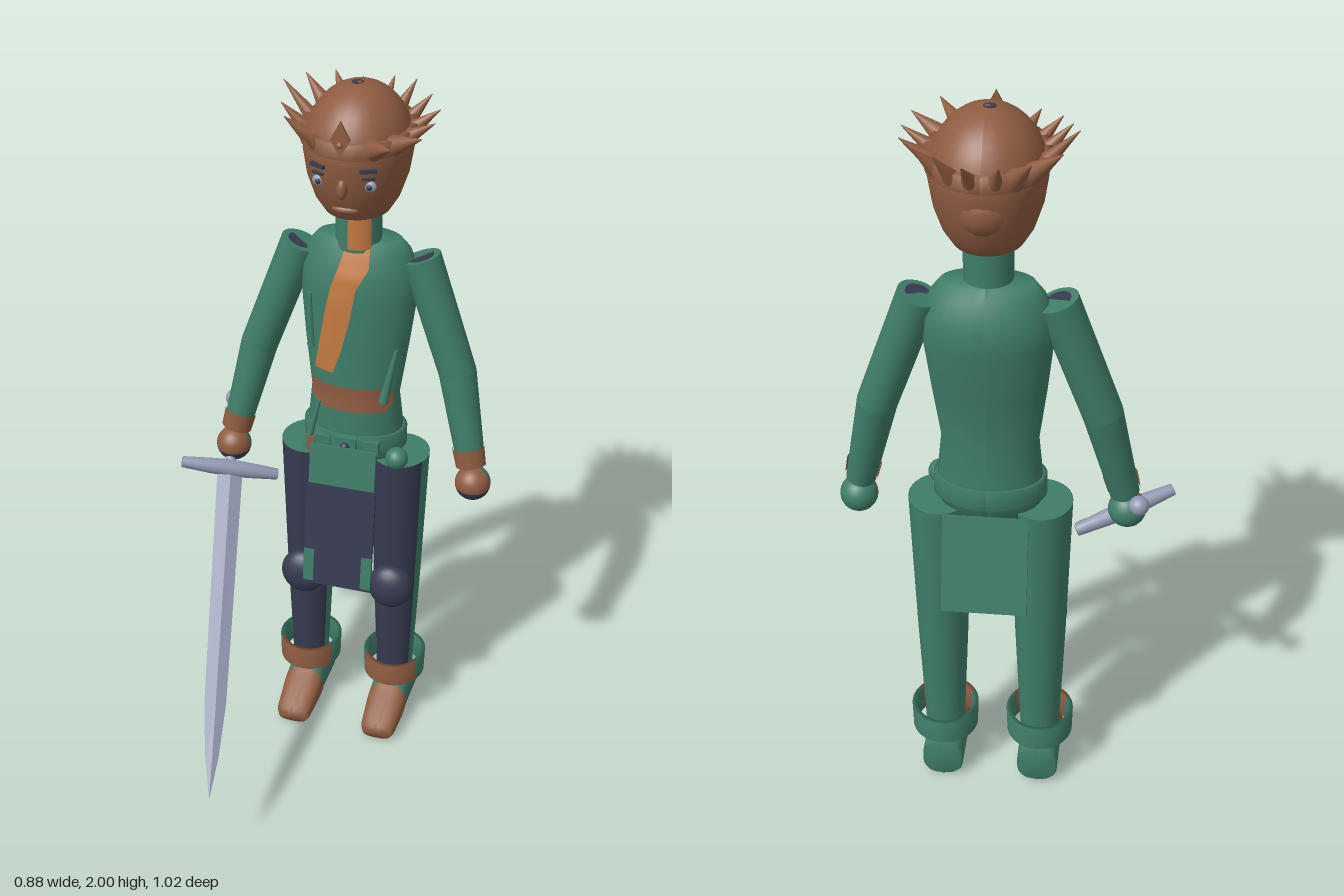
import * as THREE from 'three';

const mat = (name, color) => {
  const m = new THREE.MeshStandardMaterial({ color, side: THREE.DoubleSide });
  m.name = name;
  return m;
};
const V = (x, y, z) => new THREE.Vector3(x, y, z);

// Stacked elliptical rings; each row is [y, rx, rz, cz, cx]
function loft(rows, { a0 = -Math.PI, a1 = Math.PI, seg = 32, pow = 1 } = {}) {
  const pos = [], idx = [];
  const bend = v => Math.sign(v) * Math.abs(v) ** pow;
  rows.forEach(([y, rx, rz, cz = 0, cx = 0], i) => {
    for (let j = 0; j <= seg; j++) {
      const a = a0 + (a1 - a0) * j / seg, k = i * (seg + 1) + j;
      pos.push(cx + rx * bend(Math.sin(a)), y, cz + rz * bend(Math.cos(a)));
      if (i < rows.length - 1 && j < seg) idx.push(k, k + 1, k + seg + 2, k, k + seg + 2, k + seg + 1);
    }
  });
  const g = new THREE.BufferGeometry();
  g.setAttribute('position', new THREE.Float32BufferAttribute(pos, 3));
  g.setIndex(idx);
  g.computeVertexNormals();
  return g;
}

const TORSO = [[0.89, 0.13, 0.085, 0], [1.0, 0.135, 0.09, 0], [1.1, 0.125, 0.078, 0.006], [1.25, 0.145, 0.09, -0.004],
  [1.4, 0.162, 0.103, -0.018], [1.47, 0.162, 0.098, -0.02], [1.53, 0.14, 0.075, -0.018], [1.56, 0.115, 0.06, -0.015]];

// Front surface depth of the torso
function torsoZ(x, y) {
  let i = 0;
  while (i < TORSO.length - 2 && y > TORSO[i + 1][0]) i++;
  const t = (y - TORSO[i][0]) / (TORSO[i + 1][0] - TORSO[i][0]);
  const [, rx, rz, cz] = TORSO[i].map((v, k) => v + (TORSO[i + 1][k] - v) * t);
  return cz + rz * Math.sqrt(Math.max(0, 1 - (x / rx) ** 2)) + 0.004;
}

// Thin painted patch lying on the torso; rows are [y, left, right]
function patch(rows) {
  const fine = [];
  for (let i = 0; i < rows.length - 1; i++)
    for (let k = 0; k < 4; k++) fine.push(rows[i].map((v, c) => v + (rows[i + 1][c] - v) * k / 4));
  fine.push(rows[rows.length - 1]);
  const g = new THREE.PlaneGeometry(1, 1, 12, fine.length - 1), p = g.attributes.position;
  for (let i = 0; i < p.count; i++) {
    const [y, l, r] = fine[Math.floor(i / 13)], x = l + (r - l) * (i % 13) / 12;
    p.setXYZ(i, x, y, torsoZ(x, y));
  }
  g.computeVertexNormals();
  return g;
}

export function createModel() {
  const green = mat('green cloth', 0x3f7d68), brown = mat('brown leather', 0x8f5c41), orange = mat('orange trim', 0xc47a42),
    navy = mat('dark navy', 0x363b50), steel = mat('steel', 0x929ab2);
  const root = new THREE.Group(), body = new THREE.Group();
  body.name = 'figure';
  body.position.set(0.035, 0, -0.31);
  root.add(body);

  const add = (name, geo, m, x = 0, y = 0, z = 0, parent = body) => {
    const o = new THREE.Mesh(geo, m);
    o.name = name;
    o.position.set(x, y, z);
    parent.add(o);
    return o;
  };
  const ball = (name, r, m, x, y, z, sx = 1, sy = 1, sz = 1, parent = body) => {
    const o = add(name, new THREE.SphereGeometry(r, 24, 16), m, x, y, z, parent);
    o.scale.set(sx, sy, sz);
    return o;
  };
  // Tapered rod from lower point a to upper point b
  const rod = (name, a, b, ra, rb, m, parent = body, start = 0, len = Math.PI * 2, open = false) => {
    const d = b.clone().sub(a), c = a.clone().add(b).multiplyScalar(0.5);
    const o = add(name, new THREE.CylinderGeometry(rb, ra, d.length(), 24, 1, open, start, len), m, c.x, c.y, c.z, parent);
    o.quaternion.setFromUnitVectors(V(0, 1, 0), d.normalize());
    return o;
  };
  // Hanging cloth panel between two heights
  const panel = (name, x, w, y0, z0, y1, z1, m) => {
    const o = add(name, new THREE.BoxGeometry(w, Math.hypot(y1 - y0, z1 - z0), 0.009), m, x, (y0 + y1) / 2, (z0 + z1) / 2);
    o.rotation.x = Math.atan2(z1 - z0, y1 - y0);
  };

  // Torso, neck and painted chest
  add('torso', loft([[0.89, 0.001, 0.001], ...TORSO, [1.561, 0.001, 0.001, -0.015]]), green);
  add('neck', new THREE.CylinderGeometry(0.062, 0.062, 0.13, 24), green, 0, 1.605, 0);
  add('neckTrim', new THREE.CylinderGeometry(0.065, 0.065, 0.12, 8, 1, true, -0.2, 1), orange, 0, 1.61, 0);
  add('chestTrim', patch([[1.558, -0.02, 0.045], [1.5, -0.035, 0.047], [1.44, -0.055, 0.016], [1.35, -0.073, 0.002],
    [1.25, -0.09, -0.022], [1.18, -0.103, -0.045]].reverse()), orange);
  add('waistTrim', patch([[1.065, -0.07, 0.1], [1.085, -0.115, 0.115], [1.12, -0.118, 0.118], [1.14, -0.118, 0.09]]), brown);

  // Belt with plates and pouch
  add('belt', loft([[0.935, 0.135, 0.09], [0.935, 0.147, 0.1], [0.99, 0.147, 0.1], [0.99, 0.135, 0.09]]), green);
  add('buckle', new THREE.BoxGeometry(0.06, 0.055, 0.02), green, 0, 0.965, 0.102);
  ball('buckleStud', 0.013, navy, 0, 0.965, 0.113);
  for (const s of [-1, 1]) add('beltPlate', new THREE.BoxGeometry(0.045, 0.04, 0.02), green, s * 0.07, 0.962, 0.09);
  ball('pouch', 0.032, green, 0.14, 0.93, 0.075);
  rod('smallKnife', V(-0.12, 0.93, 0.085), V(-0.085, 1.08, 0.075), 0.012, 0.004, green);
  add('knifeSheath', new THREE.BoxGeometry(0.02, 0.045, 0.02), brown, -0.105, 0.945, 0.085);
  rod('chestStrap', V(0.095, 1.1, 0.066), V(0.125, 1.26, 0.052), 0.014, 0.005, green);
  rod('chestStrap', V(-0.115, 1.24, 0.053), V(-0.12, 1.4, 0.055), 0.012, 0.005, green);

  // Front apron and back flap
  panel('apronTop', 0, 0.19, 0.85, 0.142, 0.97, 0.128, green);
  panel('apron', 0, 0.2, 0.53, 0.18, 0.85, 0.142, navy);
  for (const s of [-1, 1]) panel('apronCorner', s * 0.085, 0.03, 0.54, 0.183, 0.64, 0.171, green);
  panel('backFlap', 0, 0.22, 0.67, -0.18, 0.93, -0.12, green);

  // Legs, boots and feet
  const leg = [[0.1, 0.052, 0.05, 0], [0.2, 0.056, 0.052, 0], [0.48, 0.068, 0.07, 0], [0.91, 0.082, 0.092, 0]];
  const shoe = [[-0.085, 0.001, 0.001, -0.058], [-0.084, 0.05, 0.052, -0.058], [-0.075, 0.056, 0.057, -0.058], [0.045, 0.056, 0.06, -0.06],
    [0.07, 0.056, 0.053, -0.054], [0.1, 0.056, 0.045, -0.046], [0.18, 0.05, 0.026, -0.028], [0.194, 0.042, 0.02, -0.022], [0.196, 0.001, 0.001, -0.02]];
  const along = (rows, o) => loft(rows, o).rotateX(Math.PI / 2);
  for (const s of [-1, 1]) {
    const x = s * 0.132, f = 1.1, b = Math.PI * 2 - f;
    add('legFront', loft(leg, { a0: -f, a1: f }), navy, x);
    add('legBack', loft(leg, { a0: f, a1: b }), green, x);
    add('legTop', loft([[0.91, 0.082, 0.092], [0.911, 0.001, 0.001]]), green, x);
    ball('kneePad', 0.07, navy, x, 0.485, 0.075, 0.95, 1, 0.62);
    const cuff = [[0.13, 0.09, 0.097], [0.2, 0.092, 0.099], [0.2, 0.078, 0.085], [0.13, 0.076, 0.083], [0.13, 0.09, 0.097]];
    add('bootCuffFront', loft(cuff, { a0: -1.05, a1: 1.05 }), brown, x);
    add('bootCuffBack', loft(cuff, { a0: 1.05, a1: Math.PI * 2 - 1.05 }), green, x);
    add('heel', along(shoe.slice(0, 6), { pow: 0.7 }), green, x);
    add('toe', along(shoe.slice(4).map(([z, w, h, c]) => [z, w + 0.001, h + 0.001, c]), { pow: 0.7 }), brown, x);
    const sole = new THREE.Shape().absellipse(0, 0.055, 0.046, 0.135, 0, Math.PI * 2);
    add('sole', new THREE.ExtrudeGeometry(sole, { depth: 0.008, bevelEnabled: false }).rotateX(Math.PI / 2), navy, x, 0.008);
  }

  // Arms and hands
  for (const s of [-1, 1]) {
    const sh = V(s * 0.168, 1.515, -0.02), el = V(s * 0.284, 1.19, -0.005), wr = V(s * 0.344, 0.925, 0.035);
    rod('upperArm', el, sh, 0.052, 0.054, green);
    ball('elbow', 0.052, green, el.x, el.y, el.z);
    rod('forearm', wr, el, 0.039, 0.052, green);
    rod('cuffTrim', wr, wr.clone().lerp(el, 0.2), 0.043, 0.046, brown, body, -1.5, 3, true);
    const cap = sh.clone().addScaledVector(sh.clone().sub(el).normalize(), 0.002);
    rod('shoulderPatch', sh, cap, 0.035, 0.035, navy, body, s > 0 ? -1 : -2.1, Math.PI);
    const hand = (name, m, p0, pl, t0, tl) => add(name, new THREE.SphereGeometry(0.05, 20, 12, p0, pl, t0, tl), m, s * 0.352, 0.87, 0.04);
    hand('handFront', brown, 0, Math.PI, 0, 1.8);
    hand('handUnderside', navy, 0, Math.PI, 1.8, Math.PI - 1.8);
    hand('handBack', green, Math.PI, Math.PI, 0, Math.PI);
  }

  // Head
  const head = new THREE.Group();
  head.name = 'head';
  head.position.z = 0.013;
  body.add(head);
  const skull = [[1.642, 0.001, 0.001], [1.644, 0.06, 0.065], [1.66, 0.088, 0.098], [1.7, 0.112, 0.128], [1.76, 0.132, 0.152]];
  for (let i = 0; i <= 10; i++) {
    const a = i / 10 * Math.PI / 2 * 0.995;
    skull.push([1.83 + 0.17 * Math.sin(a), 0.143 * Math.cos(a), 0.163 * Math.cos(a)]);
  }
  add('skull', loft(skull), brown, 0, 0, 0, head);
  add('crownSpot', new THREE.CylinderGeometry(0.016, 0.016, 0.005, 10), navy, -0.005, 2.0 - 0.003, 0, head);
  ball('hairBump', 0.075, brown, 0, 1.79, -0.09, 1, 1, 1, head);
  ball('nose', 0.018, brown, 0, 1.77, 0.152, 0.8, 1.6, 1, head);
  ball('mouth', 0.03, brown, 0, 1.7, 0.12, 1.2, 0.4, 0.5, head);
  for (const s of [-1, 1]) {
    ball('eye', 0.017, steel, s * 0.068, 1.778, 0.132, 1, 0.9, 0.6, head);
    ball('pupil', 0.008, navy, s * 0.068, 1.778, 0.14, 1, 1, 0.6, head);
    const lid = add('eyebrow', new THREE.BoxGeometry(0.045, 0.009, 0.014), navy, s * 0.066, 1.825, 0.145, head);
    lid.rotation.y = s * 0.45;
    const crease = add('eyelid', new THREE.BoxGeometry(0.035, 0.006, 0.012), navy, s * 0.066, 1.802, 0.14, head);
    crease.rotation.y = s * 0.45;
  }

  // Spiked crown: [angle in degrees, reach, tip height]
  const c = [[1.855, 0.142, 0.162], [1.855, 0.15, 0.17], [1.895, 0.15, 0.17], [1.895, 0.13, 0.15]];
  add('crownBand', loft(c), brown, 0, 0, 0, head);
  const spikes = [[33, 0.257, 1.92], [57, 0.235, 1.92], [81, 0.21, 1.925], [103, 0.207, 1.93], [126, 0.2, 1.94], [150, 0.208, 1.95], [170, 0.213, 1.94],
    [-167, 0.2, 1.935], [-148, 0.225, 1.945], [-127, 0.232, 1.95], [-101, 0.22, 1.965], [-76, 0.2, 1.94], [-56, 0.2, 1.93], [-33, 0.2, 1.92]];
  for (const [deg, r, y] of spikes) {
    const a = deg * Math.PI / 180, u = V(Math.sin(a), 0, Math.cos(a));
    rod('crownSpike', V(u.x * 0.135, 1.875, u.z * 0.152), V(u.x * r, y, u.z * r), r > 0.22 ? 0.028 : 0.021, 0.001, brown, head);
  }
  const leaf = new THREE.Shape([[0, -0.045], [0.026, 0], [0, 0.05], [-0.026, 0]].map(p => new THREE.Vector2(...p)));
  add('crownLeaf', new THREE.ExtrudeGeometry(leaf, { depth: 0.009, bevelEnabled: false }), brown, 0, 1.912, 0.168, head);
  ball('crownStud', 0.009, brown, 0, 1.9, 0.178, 1, 1, 1, head);

  // Sword, built along +y from the guard and turned into the right hand
  const sword = new THREE.Group();
  sword.name = 'sword';
  const dir = V(0.175, -0.59, 0.72), length = dir.length();
  dir.normalize();
  const side = V(0.25, -0.07, -0.115);
  side.addScaledVector(dir, -side.dot(dir)).normalize();
  sword.quaternion.setFromRotationMatrix(new THREE.Matrix4().makeBasis(side, dir, side.clone().cross(dir)));
  sword.position.set(-0.31, 0.82, -0.21);
  root.add(sword);
  const blade = loft([[0, 0.037, 0.009], [0.72 * length, 0.031, 0.007], [0.88 * length, 0.019, 0.005], [length, 0.0005, 0.0005]], { seg: 4 }).toNonIndexed();
  blade.computeVertexNormals();
  add('blade', blade, steel, 0, 0, 0, sword);
  const bar = loft([[-0.142, 0.001, 0.001], [-0.14, 0.016, 0.016], [-0.06, 0.022, 0.022], [0, 0.025, 0.025], [0.06, 0.022, 0.022],
    [0.14, 0.016, 0.016], [0.142, 0.001, 0.001]], { seg: 16 }).rotateZ(Math.PI / 2);
  add('guard', bar, steel, 0, 0, 0, sword);
  add('grip', new THREE.CylinderGeometry(0.015, 0.015, 0.21, 16), steel, 0, -0.105, 0, sword);
  ball('pommel', 0.026, steel, 0, -0.215, 0, 1, 1, 1, sword);
  return root;
}
